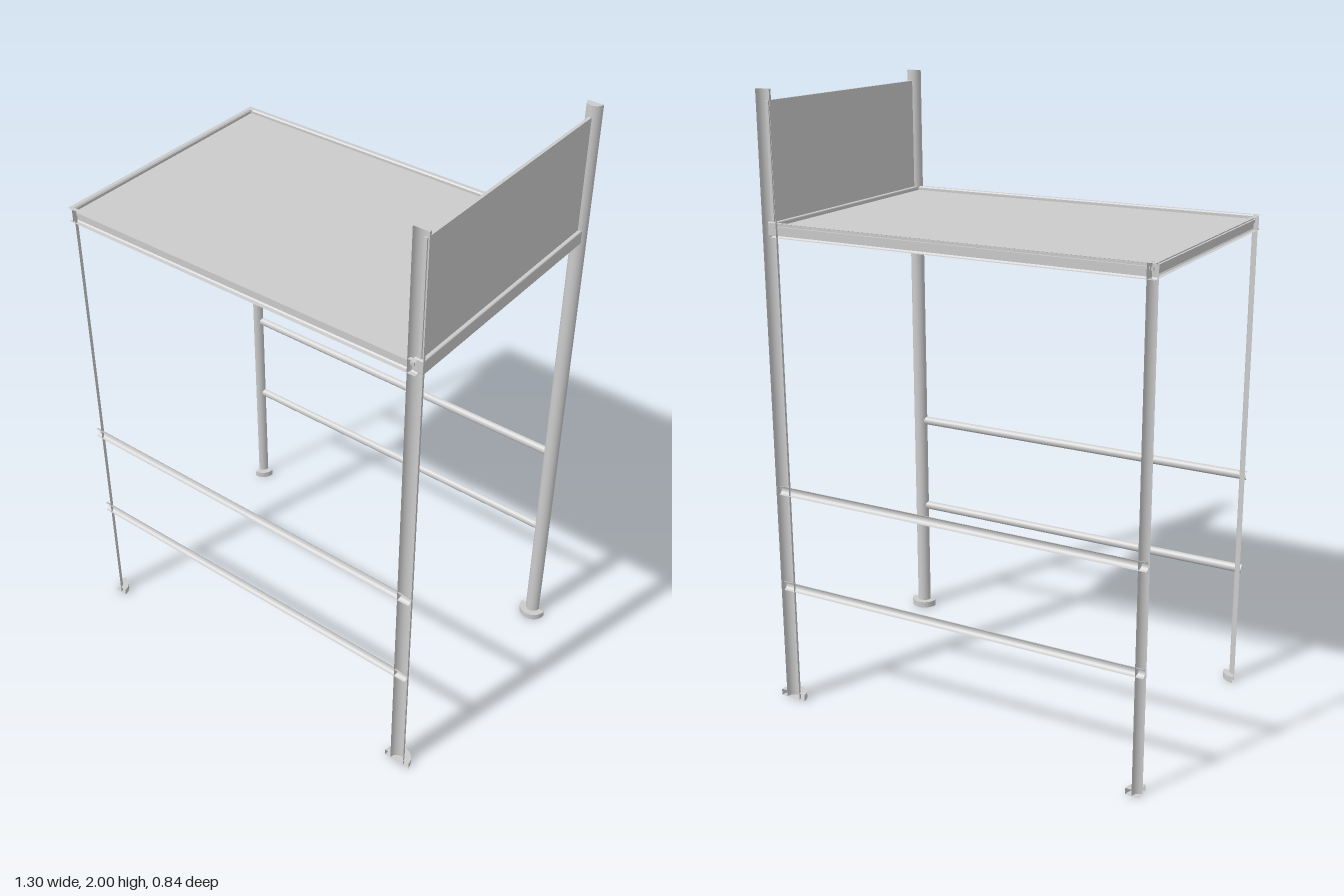
import * as THREE from 'three';
import { RoundedBoxGeometry } from 'three/addons/geometries/RoundedBoxGeometry.js';

const smooth = new THREE.MeshStandardMaterial({ color: 0xcccccc, side: THREE.DoubleSide });
const flat = new THREE.MeshStandardMaterial({ color: 0xcccccc, side: THREE.DoubleSide, flatShading: true });

const X0 = -0.653, X1 = 0.605, Z = 0.42; // open left edge, post line, side planes
const LEG_R = 0.025, FOOT_R = 0.046, FOOT_H = 0.022, BAR_R = 0.015;
const RAIL_Y = 1.582, RAIL_H = 0.0225, RAIL_W = 0.0165;

export function createModel() {
  const model = new THREE.Group();
  const add = (name, geometry, x, y, z, material = smooth) => {
    const mesh = new THREE.Mesh(geometry, material);
    mesh.name = name;
    mesh.position.set(x, y, z);
    model.add(mesh);
    return mesh;
  };

  // Half of a rounded box tube: a plane bent round a C profile, bulging to +z
  const halfRail = (length) => {
    const c = 0.004, w = RAIL_W, h = RAIL_H;
    const profile = [[0, h], [w - c, h], [w, h - c], [w, c - h], [w - c, -h], [0, -h]];
    const g = new THREE.PlaneGeometry(length, 1, 1, profile.length - 1);
    const p = g.attributes.position;
    for (let i = 0; i < p.count; i++) {
      const [depth, height] = profile[Math.floor(i / 2)];
      p.setXYZ(i, p.getX(i), height, depth);
    }
    g.computeVertexNormals();
    return g;
  };

  // Split round post, with an optional lid, standing on a split round foot
  const post = (name, x, z, height, start, sweep, lid) => {
    const segments = Math.round(sweep / Math.PI * 16);
    add(name + 'Leg', new THREE.CylinderGeometry(LEG_R, LEG_R, height, segments, 1, true, start, sweep),
      x, height / 2, z);
    if (lid) {
      const profile = [new THREE.Vector2(0, 0), new THREE.Vector2(LEG_R, 0)];
      add(name + 'LegCap', new THREE.LatheGeometry(profile, segments, start, sweep), x, height, z);
    }
    const foot = [[0, 0], [FOOT_R, 0], [FOOT_R, FOOT_H], [LEG_R, FOOT_H]]
      .map(([r, y]) => new THREE.Vector2(r, y));
    add(name + 'Foot', new THREE.LatheGeometry(foot, segments, start, sweep), x, 0, z, flat);
  };

  for (const side of [1, -1]) {
    const label = side > 0 ? 'front' : 'back';
    const z = side * Z;
    // Half round faces inward, away from the side plane
    const start = side > 0 ? Math.PI / 2 : -Math.PI / 2;

    // Tall post on the panel end, short quarter post on the open end
    post(label + 'Tall', X1, z, 2, start, Math.PI, true);
    post(label + 'Short', X0, z, RAIL_Y + RAIL_H, side > 0 ? Math.PI / 2 : 0, Math.PI / 2, false);

    // Two lower cross bars
    const barEnd = 0.62, length = barEnd - X0;
    for (const [name, y] of [['Lower', 0.408], ['Upper', 0.741]]) {
      const bar = new THREE.CylinderGeometry(BAR_R, BAR_R, length, 12, 1, true, start, Math.PI);
      bar.rotateZ(Math.PI / 2);
      add(label + name + 'Bar', bar, (X0 + barEnd) / 2, y, z);
    }

    // Long rail under the table edge
    const rail = add(label + 'TopRail', halfRail(X1 - X0), (X0 + X1) / 2, RAIL_Y, z, flat);
    if (side > 0) rail.rotation.y = Math.PI;
  }

  // End rails: split on the open end, whole under the panel
  add('openEndRail', halfRail(2 * Z), X0, RAIL_Y, 0, flat).rotation.y = Math.PI / 2;
  add('panelEndRail', new RoundedBoxGeometry(2 * RAIL_W, 2 * RAIL_H, 2 * Z - 0.03, 2, 0.004), X1, RAIL_Y, 0);

  // Thin table board sunk between the rails
  add('tableTop', new THREE.BoxGeometry(X1 - X0 - 0.02, 0.01, 2 * Z - 0.02), (X0 + X1) / 2, RAIL_Y + 0.005, 0);

  // Upright end panel between the tall posts
  add('endPanel', new THREE.BoxGeometry(0.01, 0.37, 2 * Z - 0.04), X1, 1.78, 0);

  return model;
}
